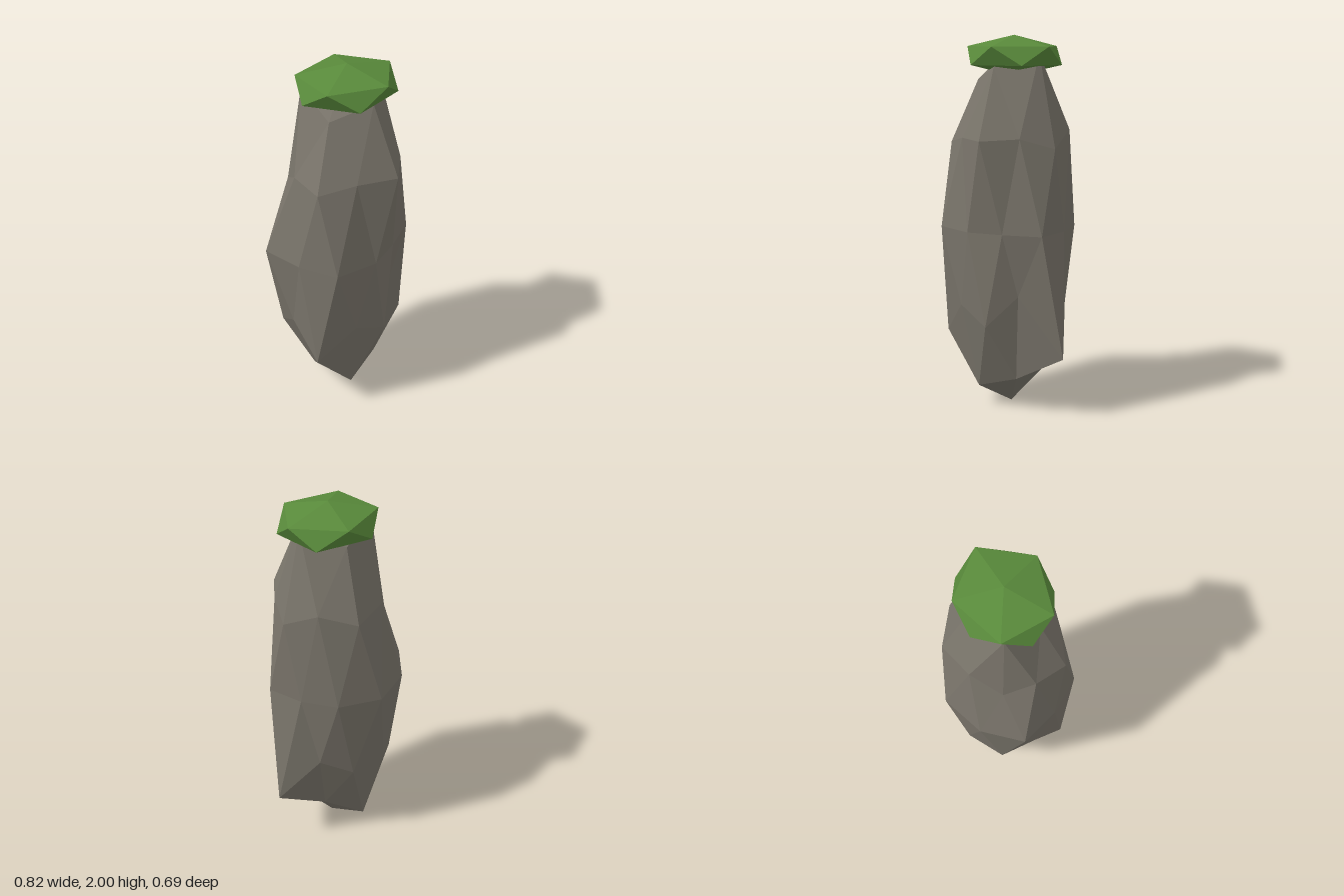
import * as THREE from 'three';
import { ConvexGeometry } from 'three/addons/geometries/ConvexGeometry.js';

// Points of a unit icosphere ring; start and step in degrees
function ring(y, start, count) {
  const r = Math.sqrt(1 - y * y);
  return Array.from({ length: count }, (_, i) => {
    const a = THREE.MathUtils.degToRad(start + (i * 360) / count);
    return new THREE.Vector3(r * Math.cos(a), y, r * Math.sin(a));
  });
}

// Rings of the rough stone: height, first angle, and radial swell of each corner
const STONE_RINGS = [
  [0.8507, 0, [1.08, 1.0, 0.92, 1.05, 0.98]],
  [0.5257, 36, [0.94, 0.92, 0.9, 0.95, 1.0]],
  [0.4472, 0, [0.984, 1.08, 1.0, 0.85, 1.04]],
  [0, 18, [0.97, 0.78, 0.88, 1.04, 0.95, 1.12, 1.06, 1.075, 0.95, 0.86]],
  [-0.4472, 36, [0.75, 0.92, 0.95, 1.02, 0.9]],
  [-0.5257, 0, [1.25, 0.95, 1.15, 1.06, 0.95]],
  [-0.8507, 36, [0.945, 1.03, 0.94, 1.1, 0.92]],
];

function stoneGeometry() {
  const points = [new THREE.Vector3(0, 1, 0), new THREE.Vector3(0, -1, 0)];
  const swell = [0.95, 0.985];
  for (const [y, start, factors] of STONE_RINGS) {
    points.push(...ring(y, start, factors.length));
    swell.push(...factors);
  }
  // Facet the sphere, then push each corner in or out
  const geometry = new ConvexGeometry(points);
  const pos = geometry.attributes.position;
  const v = new THREE.Vector3();
  for (let i = 0; i < pos.count; i++) {
    v.fromBufferAttribute(pos, i);
    const index = points.findIndex((p) => p.distanceToSquared(v) < 1e-6);
    v.multiplyScalar(swell[index]);
    pos.setXYZ(i, v.x, v.y, v.z);
  }
  geometry.scale(0.385, 1, 0.346);
  geometry.computeVertexNormals();
  return geometry;
}

function capGeometry() {
  const geometry = new ConvexGeometry([
    new THREE.Vector3(0, 1, 0),
    ...ring(0.4472, 0, 5),
    ...ring(-0.4472, 36, 5),
    new THREE.Vector3(0, -1, 0),
  ]);
  geometry.scale(0.296, 0.106, 0.267);
  geometry.computeVertexNormals();
  return geometry;
}

export function createModel() {
  const stone = new THREE.MeshStandardMaterial({ color: 0x7a756b });
  const moss = new THREE.MeshStandardMaterial({ color: 0x598a3b });
  stone.name = 'stone';
  moss.name = 'moss';
  stone.flatShading = moss.flatShading = true;

  // Tall standing stone
  const pillar = new THREE.Mesh(stoneGeometry(), stone);
  pillar.name = 'standingStone';
  pillar.position.set(0, 0.99, 0.027);

  // Flattened moss clump on top
  const cap = new THREE.Mesh(capGeometry(), moss);
  cap.name = 'mossCap';
  cap.position.set(0.025, 1.896, 0.027);

  const group = new THREE.Group();
  group.name = 'mossyStone';
  group.add(pillar, cap);
  return group;
}
